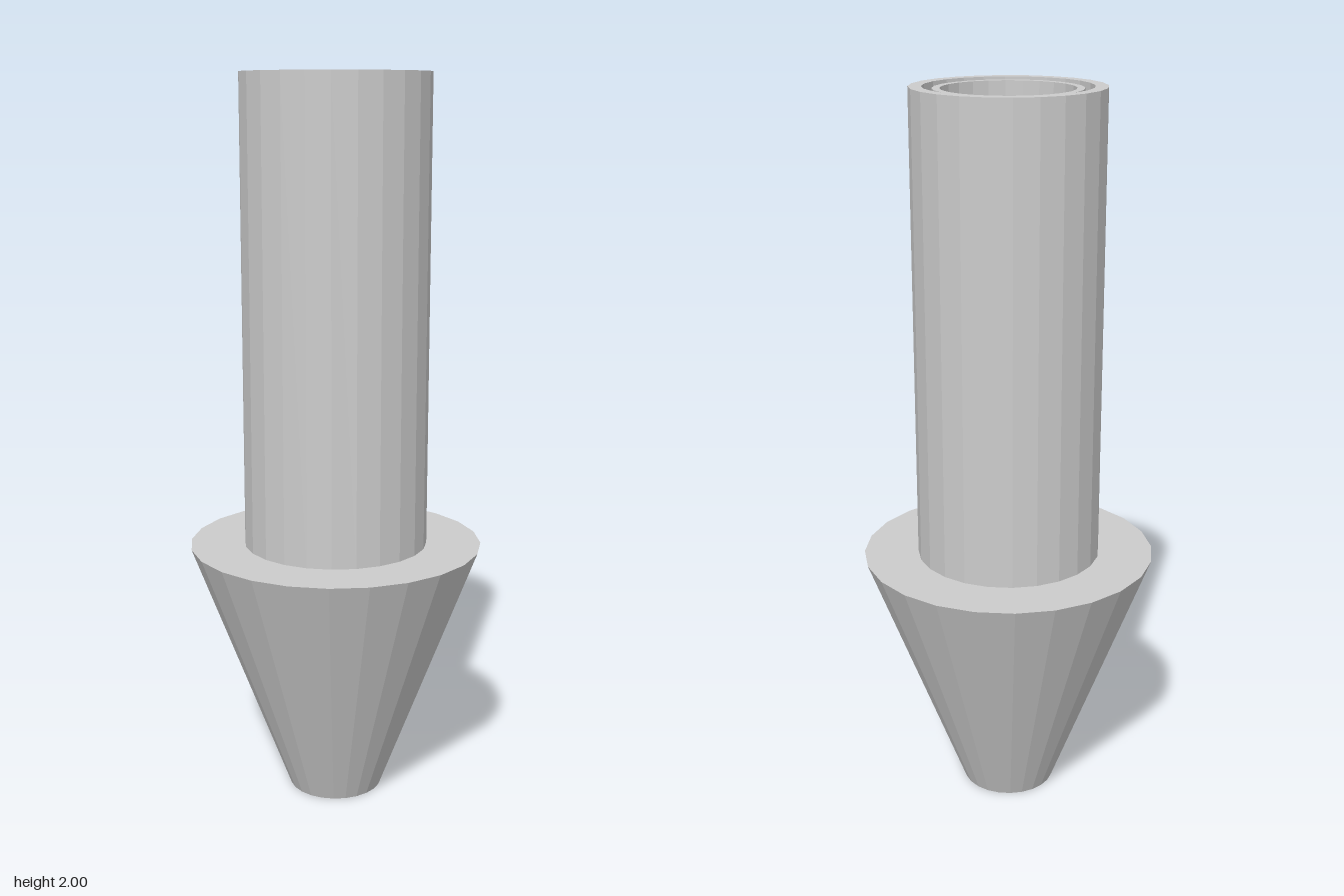
import * as THREE from 'three';

const SIDES = 24;
const material = new THREE.MeshStandardMaterial({ color: 0xcccccc, flatShading: true, side: THREE.DoubleSide });

// Faceted turned part from a [radius, height] profile
function turned(name, profile) {
  const points = profile.map(([r, y]) => new THREE.Vector2(r, y));
  const mesh = new THREE.Mesh(new THREE.LatheGeometry(points, SIDES), material);
  mesh.name = name;
  return mesh;
}

export function createModel() {
  const group = new THREE.Group();
  group.name = 'taperedPlug';

  // Conical tip with a blind hole underneath and a flat shoulder on top
  group.add(turned('conicalTip', [
    [0, 0.3], [0.057, 0.3], [0.057, 0], [0.13, 0], [0.405, 0.725], [0.254, 0.725],
  ]));

  // Outer shaft with its rim
  group.add(turned('shaft', [[0.254, 0.725], [0.254, 2], [0.22, 2]]));

  // Groove between the rim and the inner collar
  group.add(turned('rimGroove', [[0.22, 2], [0.22, 1.93], [0.194, 1.93]]));

  // Inner collar
  group.add(turned('innerCollar', [[0.194, 1.93], [0.194, 1.995], [0.174, 1.995], [0.174, 1.93]]));

  // Stepped recess closed by a floor
  group.add(turned('recess', [[0.174, 1.93], [0.147, 1.93], [0.147, 1.905], [0, 1.905]]));

  return group;
}
